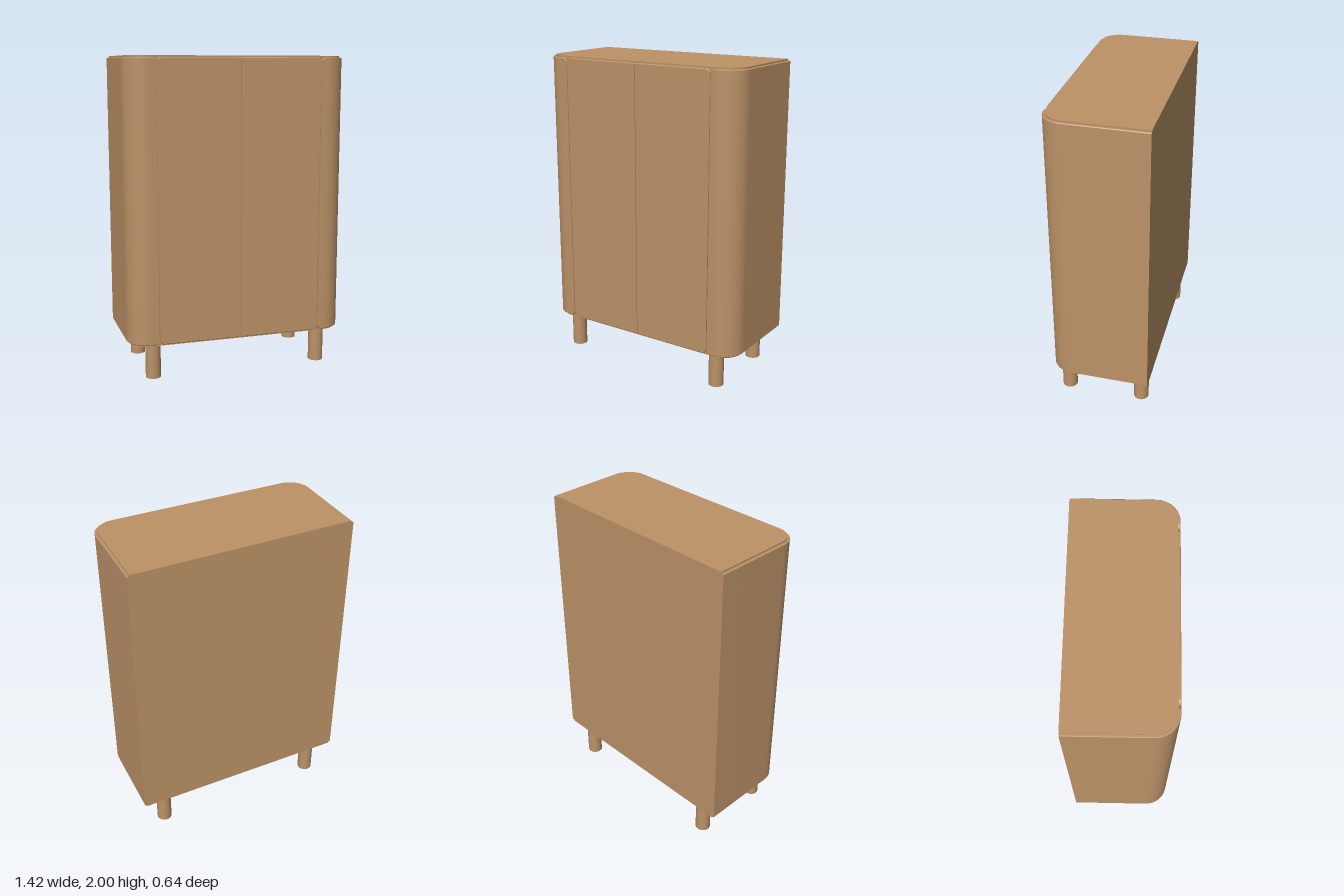
import * as THREE from 'three';
import { toCreasedNormals } from 'three/addons/utils/BufferGeometryUtils.js';

const X = 0.712, Z = 0.32, R = 0.14;      // outer half width, half depth, corner radius
const THICK = 0.016, BEVEL = 0.004;       // panel thickness and edge bevel
const BOTTOM = 0.23, TOP = 1.99;          // panel heights
const NOTCH = 0.03;                       // rounding of panel corners at the seams

// Sweep an upright panel section along stations { x, z, nx, nz, drop }
function panelGeometry(stations) {
  const pos = [], idx = [];
  const n = 6;
  for (const { x, z, nx, nz, drop } of stations) {
    const lo = BOTTOM + drop, hi = TOP - drop;
    const section = [[-THICK, lo], [-BEVEL, lo], [0, lo + BEVEL], [0, hi - BEVEL], [-BEVEL, hi], [-THICK, hi]];
    for (const [o, y] of section) pos.push(x + nx * o, y, z + nz * o);
  }
  const last = (stations.length - 1) * n;
  for (let k = 0; k < last; k += n) {
    for (let i = 0; i < n; i++) {
      const a = k + i, b = k + (i + 1) % n;
      idx.push(a, b, b + n, a, b + n, a + n);
    }
  }
  for (let i = 1; i < n - 1; i++) {
    idx.push(0, i + 1, i, last, last + i, last + i + 1);
  }
  const g = new THREE.BufferGeometry();
  g.setAttribute('position', new THREE.Float32BufferAttribute(pos, 3));
  g.setIndex(idx);
  return toCreasedNormals(g, 0.5);
}

// Distance from the seam and matching drop for a rounded corner
function cornerSteps() {
  const steps = [];
  for (let i = 0; i <= 6; i++) {
    const a = (i / 6) * Math.PI / 2;
    steps.push({ s: NOTCH * (1 - Math.cos(a)), drop: NOTCH * (1 - Math.sin(a)) });
  }
  return steps;
}

const mirror = (path) => path.map((p) => ({ ...p, x: -p.x, nx: -p.nx })).reverse();

export function createModel() {
  const model = new THREE.Group();
  model.name = 'cabinet';
  const wood = new THREE.MeshStandardMaterial({ color: 0xbc9267 });
  wood.name = 'warm wood';

  const add = (name, geometry) => {
    const mesh = new THREE.Mesh(geometry, wood);
    mesh.name = name;
    model.add(mesh);
    return mesh;
  };

  // Carcass: slightly inset body whose ends form the top and base
  const cx = X - THICK, cz = Z - THICK, r = R - THICK;
  const outline = new THREE.Shape();
  outline.moveTo(-cx, Z);
  outline.lineTo(-cx, -(cz - r));
  outline.absarc(-cx + r, -(cz - r), r, Math.PI, Math.PI * 1.5, false);
  outline.lineTo(cx - r, -cz);
  outline.absarc(cx - r, -(cz - r), r, Math.PI * 1.5, Math.PI * 2, false);
  outline.lineTo(cx, Z);
  outline.closePath();
  const body = new THREE.ExtrudeGeometry(outline, { depth: 1.78, bevelEnabled: false, curveSegments: 16 });
  body.rotateX(-Math.PI / 2);
  body.translate(0, 0.22, 0);
  add('carcass', toCreasedNormals(body, 0.5));

  // Side panel: straight side, rounded front corner, short front return
  const side = [{ x: X, z: -Z, nx: 1, nz: 0, drop: 0 }];
  for (let i = 0; i <= 16; i++) {
    const a = (i / 16) * Math.PI / 2;
    const nx = Math.cos(a), nz = Math.sin(a);
    side.push({ x: X - R + R * nx, z: Z - R + R * nz, nx, nz, drop: 0 });
  }
  for (const { s, drop } of cornerSteps().reverse()) {
    side.push({ x: 0.53 + s, z: Z, nx: 0, nz: 1, drop });
  }
  add('leftSidePanel', panelGeometry(side));
  add('rightSidePanel', panelGeometry(mirror(side)));

  // Doors: flat panels with rounded outer corners
  const door = cornerSteps().map(({ s, drop }) => ({ x: 0.525 - s, z: Z, nx: 0, nz: 1, drop }));
  door.push({ x: 0.002, z: Z, nx: 0, nz: 1, drop: 0 });
  add('leftDoor', panelGeometry(door));
  add('rightDoor', panelGeometry(mirror(door)));

  // Round legs
  const legGeometry = new THREE.CylinderGeometry(0.048, 0.048, 0.22, 32);
  for (const x of [-0.555, 0.555]) {
    for (const z of [-0.25, 0.238]) {
      const leg = add(`${z > 0 ? 'front' : 'back'}${x > 0 ? 'Left' : 'Right'}Leg`, legGeometry);
      leg.position.set(x, 0.11, z);
    }
  }
  return model;
}
